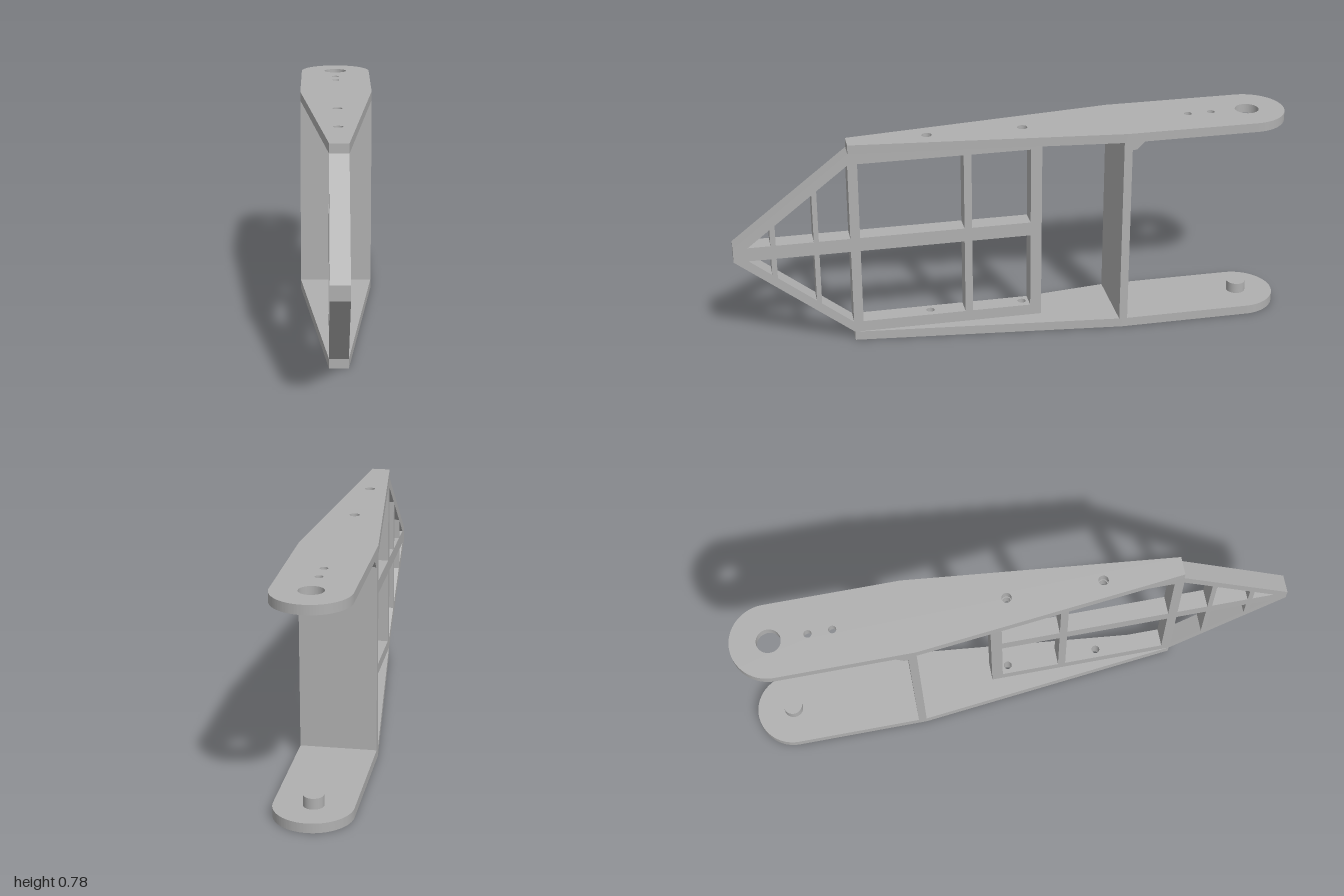
import * as THREE from 'three';
import { toCreasedNormals } from 'three/addons/utils/BufferGeometryUtils.js';

export function createModel() {
  const model = new THREE.Group();
  model.name = 'latticeFork';
  const grey = new THREE.MeshStandardMaterial({ color: 0xb0b0b0 });
  grey.name = 'plain grey';

  // Everything is built along a slanted axis: local x runs forward, local z runs to the model's right
  const body = new THREE.Group();
  body.name = 'slantedBody';
  body.position.set(0.077, 0, 0);
  body.rotation.y = -Math.atan2(0.9915, 0.13);
  model.add(body);

  const T = 0.067, H = 0.778, P = 0.034;      // frame thickness, total height, plate thickness
  const MID0 = 0.363, MID1 = 0.415;           // middle bar
  const LOW = 0.075, HIGH = 0.704;            // inner edges of the rails
  const BACK = -0.111, FRONT = 0.582, TIP = 1.0;

  const add = (name, geometry) => {
    const mesh = new THREE.Mesh(geometry, grey);
    mesh.name = name;
    body.add(mesh);
    return mesh;
  };
  const box = (name, x0, x1, y0, y1, z0, z1) =>
    add(name, new THREE.BoxGeometry(x1 - x0, y1 - y0, z1 - z0))
      .position.set((x0 + x1) / 2, (y0 + y1) / 2, (z0 + z1) / 2);
  const poly = (pts) => new THREE.Shape(pts.map(([x, y]) => new THREE.Vector2(x, y)));
  const drill = (shape, holes) => holes.forEach(([x, z, r]) =>
    shape.holes.push(new THREE.Path().absarc(x, z, r, 0, Math.PI * 2, true)));
  const extrude = (shape, depth) => new THREE.ExtrudeGeometry(shape,
    { depth, bevelEnabled: false, curveSegments: 48 });
  // Plan outline (x, z) raised from y0 to y1
  const slab = (name, shape, y0, y1) => {
    const g = extrude(shape, y1 - y0).rotateX(Math.PI / 2).translate(0, y1, 0);
    add(name, toCreasedNormals(g, 0.09));
  };

  // Tapered plates with a round rear end
  const CX = -0.877, CZ = 0.038, R = 0.136;
  const plate = (name, y0, holes) => {
    const s = new THREE.Shape();
    s.moveTo(FRONT, 0);
    s.lineTo(FRONT, T);
    s.lineTo(-0.386, CZ + R);
    s.lineTo(CX, CZ + R);
    s.absarc(CX, CZ, R, Math.PI / 2, Math.PI * 1.5, false);
    s.lineTo(-0.396, CZ - R);
    drill(s, holes);
    slab(name, s, y0, y0 + P);
  };
  const bolts = (r) => [[-0.045, 0.035, r], [0.298, 0.035, r]];
  plate('bottomPlate', 0, bolts(0.018));
  plate('topPlate', H - P, [...bolts(0.018),
    [CX, CZ, 0.043], [-0.741, 0.037, 0.014], [-0.655, 0.037, 0.014]]);

  // Pivot peg on the lower plate
  add('pivotPeg', new THREE.CylinderGeometry(0.035, 0.035, 0.039, 48))
    .position.set(CX, P + 0.0195, CZ);

  // Cross wall and the bevelled gusset behind its top edge
  box('crossWall', -0.416, -0.386, P, H - P, CZ - R, CZ + R);
  const gusset = poly([[-0.416, H - P], [-0.46, H - P], [-0.431, 0.715], [-0.416, 0.715]]);
  add('wallGusset', extrude(gusset, 2 * R).translate(0, 0, CZ - R));

  // Rails drilled for the bolts
  for (const [name, y0, y1] of [['bottomRail', P, LOW], ['topRail', HIGH, H - P]]) {
    const s = poly([[BACK, 0], [0.55, 0], [0.55, T], [BACK, T]]);
    drill(s, bolts(0.015));
    slab(name, s, y0, y1);
  }

  // Lattice bars between the rails
  box('middleBar', BACK, 0.55, MID0, MID1, 0, T);
  for (const [x0, x1] of [[BACK, -0.07], [0.145, 0.173]])
    box('upright', x0, x1, LOW, HIGH, 0, T);

  // Pointed nose with mirrored upper and lower windows
  const nose = poly([[0.55, P], [FRONT, P], [TIP, MID0], [TIP, MID1], [FRONT, H - P], [0.55, H - P]]);
  const END = 0.948;
  const rise = (x) => (HIGH - MID1) * (END - x) / (END - FRONT);
  for (const [a, b] of [[FRONT + 0.003, 0.697], [0.715, 0.849], [0.868, END]])
    for (const [y, sign] of [[MID1, 1], [MID0, -1]]) {
      const pts = [[a, y], [b, y]];
      if (b < END) pts.push([b, y + sign * rise(b)]);
      pts.push([a, y + sign * rise(a)]);
      nose.holes.push(poly(pts));
    }
  add('nose', extrude(nose, T));

  return model;
}
